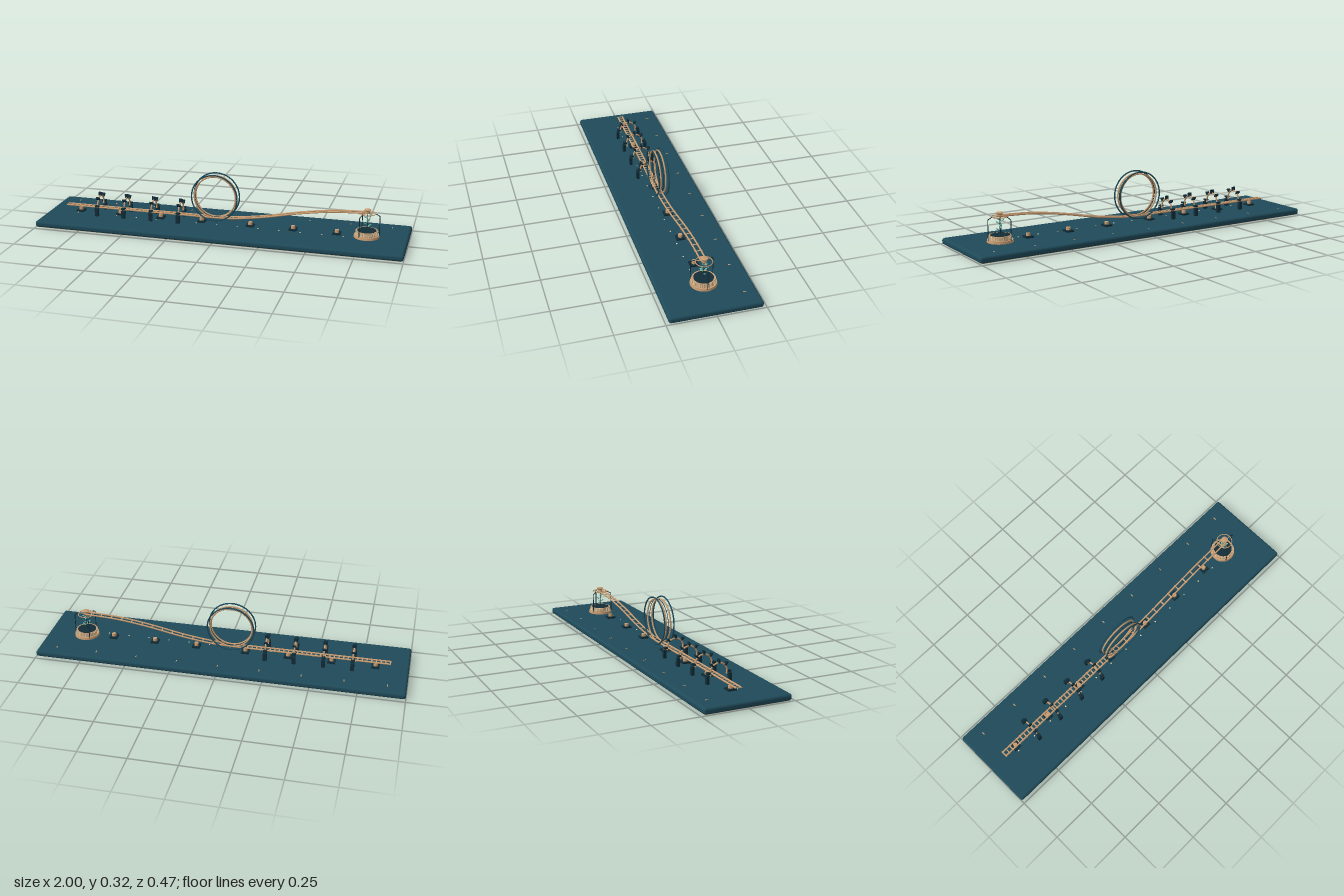
import * as THREE from 'three';
import { RoundedBoxGeometry } from 'three/addons/geometries/RoundedBoxGeometry.js';

const mat = (name, color) => {
  const m = new THREE.MeshStandardMaterial({ color });
  m.name = name;
  return m;
};

export function createModel() {
  const model = new THREE.Group();
  const teal = mat('teal', 0x1f4a59);
  const dark = mat('dark teal', 0x122d37);
  const copper = mat('copper', 0xc89c72);
  const cream = mat('pale brass', 0xe2cda6);
  const mint = mat('mint', 0x6fc4ac);

  const add = (parent, name, geo, material, x = 0, y = 0, z = 0) => {
    const m = new THREE.Mesh(geo, material);
    m.name = name;
    m.position.set(x, y, z);
    parent.add(m);
    return m;
  };
  const group = (name, x = 0, y = 0, z = 0) => {
    const g = new THREE.Group();
    g.name = name;
    g.position.set(x, y, z);
    model.add(g);
    return g;
  };
  const box = (x, y, z) => new THREE.BoxGeometry(x, y, z);
  const cyl = (r1, r2, h, n = 32) => new THREE.CylinderGeometry(r1, r2, h, n);
  const V = (x, y, z) => new THREE.Vector3(x, y, z);

  // Base board with copper underside
  const TOP = 0.036;
  add(model, 'baseBoard', new RoundedBoxGeometry(2, 0.034, 0.47, 4, 0.013), teal, 0, 0.019, 0);
  add(model, 'basePad', box(1.976, 0.004, 0.446), copper, 0, 0.002, 0);

  // Straight run and rising ramp
  const profile = [[-0.9, 0.07], [-0.6, 0.07], [-0.3, 0.07], [-0.04, 0.07], [0.06, 0.074],
    [0.22, 0.095], [0.43, 0.136], [0.6, 0.16], [0.78, 0.169]];
  const path = (z) => new THREE.CatmullRomCurve3(profile.map(([x, y]) => V(x, y, z)), false, 'centripetal');
  for (const s of [-1, 1]) {
    add(model, 'trackRail', new THREE.TubeGeometry(path(s * 0.0135), 120, 0.0045, 8), copper);
  }
  // Ties: close on the straight, sparse on the ramp
  const centre = path(0);
  const tieAt = (u) => {
    const p = centre.getPointAt(u), t = centre.getTangentAt(u);
    const tie = add(model, 'trackTie', box(0.007, 0.002, 0.038), copper, p.x, p.y, 0);
    tie.rotation.z = Math.atan2(t.y, t.x);
  };
  for (let i = 0; i <= 34; i++) tieAt(i / 68);
  for (let i = 1; i <= 14; i++) tieAt(0.5 + i / 29);

  // Vertical loop
  const loop = group('loop', -0.04, 0.185, 0);
  for (const s of [-1, 1]) {
    add(loop, 'loopGuard', new THREE.TorusGeometry(0.127, 0.0038, 10, 80), teal, 0, 0, s * 0.027);
    add(loop, 'loopRail', new THREE.TorusGeometry(0.115, 0.0042, 10, 80), copper, 0, 0, s * 0.0131);
  }
  add(loop, 'loopSpine', new THREE.TorusGeometry(0.115, 0.0014, 6, 80), dark);

  // Track feet with copper studs
  for (const x of [-0.823, -0.588, -0.353, -0.118, 0.155, 0.39, 0.626]) {
    const foot = group('trackFoot', x, TOP, 0);
    add(foot, 'footPlate', box(0.042, 0.009, 0.046), dark, 0, 0.0045, 0);
    add(foot, 'footStud', cyl(0.011, 0.012, 0.015, 20), copper, 0, 0.0165, 0);
  }

  // Coil gates: side blocks, arch, radial magnets
  for (const x of [-0.705, -0.55, -0.392, -0.236]) {
    const gate = group('gate', x, 0, 0);
    for (const s of [-1, 1]) {
      add(gate, 'gateBlock', box(0.02, 0.044, 0.015), dark, 0, TOP + 0.022, s * 0.062);
    }
    const arch = add(gate, 'gateArch', new THREE.TorusGeometry(0.046, 0.0045, 8, 40, Math.PI * 1.2), copper, 0, 0.09, 0);
    arch.rotation.set(0, Math.PI / 2, 0);
    arch.geometry.rotateZ(-Math.PI * 0.1);
    for (let i = 0; i <= 4; i++) {
      const a = i * Math.PI / 4;
      const magnet = add(gate, 'gateMagnet', box(0.02, 0.008, 0.02), dark,
        0, 0.09 + Math.sin(a) * 0.056, Math.cos(a) * 0.056);
      magnet.rotation.x = -a;
    }
  }

  // Scale marks and pins on the board
  for (let i = 0; i < 9; i++) {
    add(model, 'scaleMark', box(0.005, 0.001, 0.016), copper, -0.9 + i * 0.225, TOP + 0.0005, -0.17);
  }
  for (let i = 0; i < 14; i++) {
    add(model, 'boardPin', cyl(0.004, 0.004, 0.002, 10), cream, -0.83 + i * 0.115, TOP + 0.001, 0.032);
  }

  // Round end station
  const st = group('station', 0.783, 0, 0);
  add(st, 'stationBase', cyl(0.066, 0.068, 0.013, 48), copper, 0, TOP + 0.0065, 0);
  add(st, 'stationDrum', cyl(0.058, 0.058, 0.022, 48), copper, 0, 0.06, 0);
  add(st, 'stationFloor', cyl(0.05, 0.05, 0.002, 40), dark, 0, 0.071, 0);
  for (let i = 0; i < 40; i++) {
    const a = i * Math.PI / 20;
    const rib = add(st, 'drumRib', box(0.003, 0.018, 0.005), cream, Math.cos(a) * 0.058, 0.06, Math.sin(a) * 0.058);
    rib.rotation.y = -a;
  }
  // Three bent cage posts
  for (let i = 0; i < 3; i++) {
    const a = i * Math.PI * 2 / 3, c = Math.cos(a), s = Math.sin(a);
    const pts = [[0.066, 0.045], [0.066, 0.154], [0.044, 0.165]].map(([r, y]) => V(r * c, y, r * s));
    const post = new THREE.CurvePath();
    post.add(new THREE.LineCurve3(pts[0], pts[1]));
    post.add(new THREE.LineCurve3(pts[1], pts[2]));
    add(st, 'cagePost', new THREE.TubeGeometry(post, 24, 0.0022, 8), dark);
    const spoke = new THREE.LineCurve3(V(0.044 * c, 0.165, 0.044 * s), V(0, 0.167, 0));
    add(st, 'cageSpoke', new THREE.TubeGeometry(spoke, 1, 0.002, 8), copper);
  }
  const ring = add(st, 'cageRing', new THREE.TorusGeometry(0.042, 0.0024, 8, 48), copper, 0, 0.165, 0);
  ring.rotation.x = Math.PI / 2;
  // Spool-shaped cap on top
  const cap = [[0, 0.165], [0.015, 0.165], [0.015, 0.171], [0.011, 0.175], [0.018, 0.181], [0.018, 0.186], [0, 0.187]];
  add(st, 'stationCap', new THREE.LatheGeometry(cap.map(([x, y]) => new THREE.Vector2(x, y)), 24), copper);
  // Stem with mint vanes inside the cage
  add(st, 'stem', cyl(0.0015, 0.0015, 0.095, 8), dark, 0, 0.118, 0);
  for (let i = 0; i < 6; i++) {
    const a = i * 2.4;
    const vane = add(st, 'vane', new THREE.SphereGeometry(1, 12, 8), mint,
      Math.cos(a) * 0.013, 0.1 + i * 0.011, Math.sin(a) * 0.013);
    vane.scale.set(0.012, 0.003, 0.006);
    vane.rotation.set(0, -a, 0.6);
  }
  return model;
}
